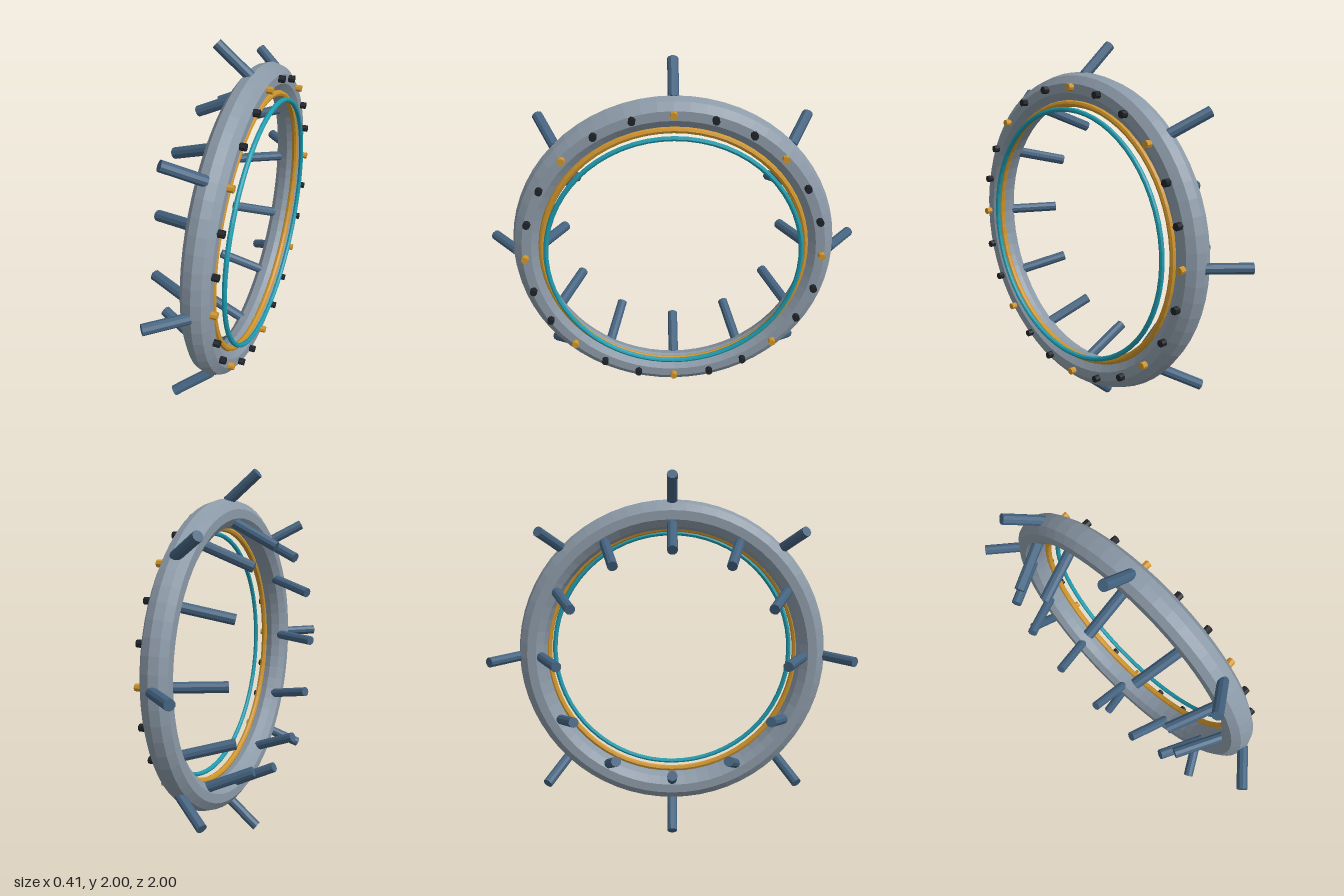
import * as THREE from 'three';

const material = (name, color) => {
  const m = new THREE.MeshStandardMaterial({ color, flatShading: true });
  m.name = name;
  return m;
};

export function createModel() {
  const model = new THREE.Group();
  model.name = 'ringStation';
  const grey = material('hullGrey', 0x8c9aa8);
  const blue = material('strutBlue', 0x446380);
  const gold = material('gold', 0xcf952c);
  const teal = material('teal', 0x1f9cb0);
  const dark = material('darkMetal', 0x1f2329);

  // Everything is built around the x axis, then lifted onto the ground
  const wheel = new THREE.Group();
  wheel.name = 'wheel';
  wheel.position.y = 1;
  model.add(wheel);

  const add = (name, geometry, mat, parent = wheel) => {
    const mesh = new THREE.Mesh(geometry, mat);
    mesh.name = name;
    parent.add(mesh);
    return mesh;
  };

  const ring = (name, x, radius, tube, sides, mat) =>
    add(name, new THREE.TorusGeometry(radius, tube, sides, 64).rotateY(Math.PI / 2).translate(x, 0, 0), mat);

  // Rod between two (x, radius) points, seen in the plane of angle 0
  const rodGeometry = (from, to, radius, sides) => {
    const a = new THREE.Vector3(from[0], from[1], 0);
    const b = new THREE.Vector3(to[0], to[1], 0);
    const dir = b.clone().sub(a);
    const turn = new THREE.Quaternion().setFromUnitVectors(new THREE.Vector3(0, 1, 0), dir.clone().normalize());
    const mid = a.add(b).multiplyScalar(0.5);
    return new THREE.CylinderGeometry(radius, radius, dir.length(), sides)
      .applyQuaternion(turn).translate(mid.x, mid.y, mid.z);
  };

  // Repeat a part around the wheel axis
  const around = (name, count, geometry, pickMaterial) => {
    const group = new THREE.Group();
    group.name = name + 's';
    wheel.add(group);
    for (let i = 0; i < count; i++) {
      add(name, geometry, pickMaterial(i), group).rotation.x = (i / count) * Math.PI * 2;
    }
  };

  // Main ring and the two thin inner rings
  ring('mainRing', 0.095, 0.773, 0.078, 10, grey);
  ring('goldRing', 0.145, 0.695, 0.017, 8, gold);
  ring('tealRing', 0.192, 0.668, 0.013, 8, teal);

  // Struts splayed outwards and inwards behind the ring
  around('outerStrut', 8, rodGeometry([0.085, 0.835], [-0.088, 0.98], 0.028, 10), () => blue);
  around('innerStrut', 12, rodGeometry([0.06, 0.733], [-0.193, 0.606], 0.028, 10), () => blue);

  // Studs on the front face, every third one gold
  around('stud', 24, rodGeometry([0.16, 0.78], [0.2, 0.78], 0.019, 8).translate(0, 0, 0),
    (i) => (i % 3 === 0 ? gold : dark));

  return model;
}
